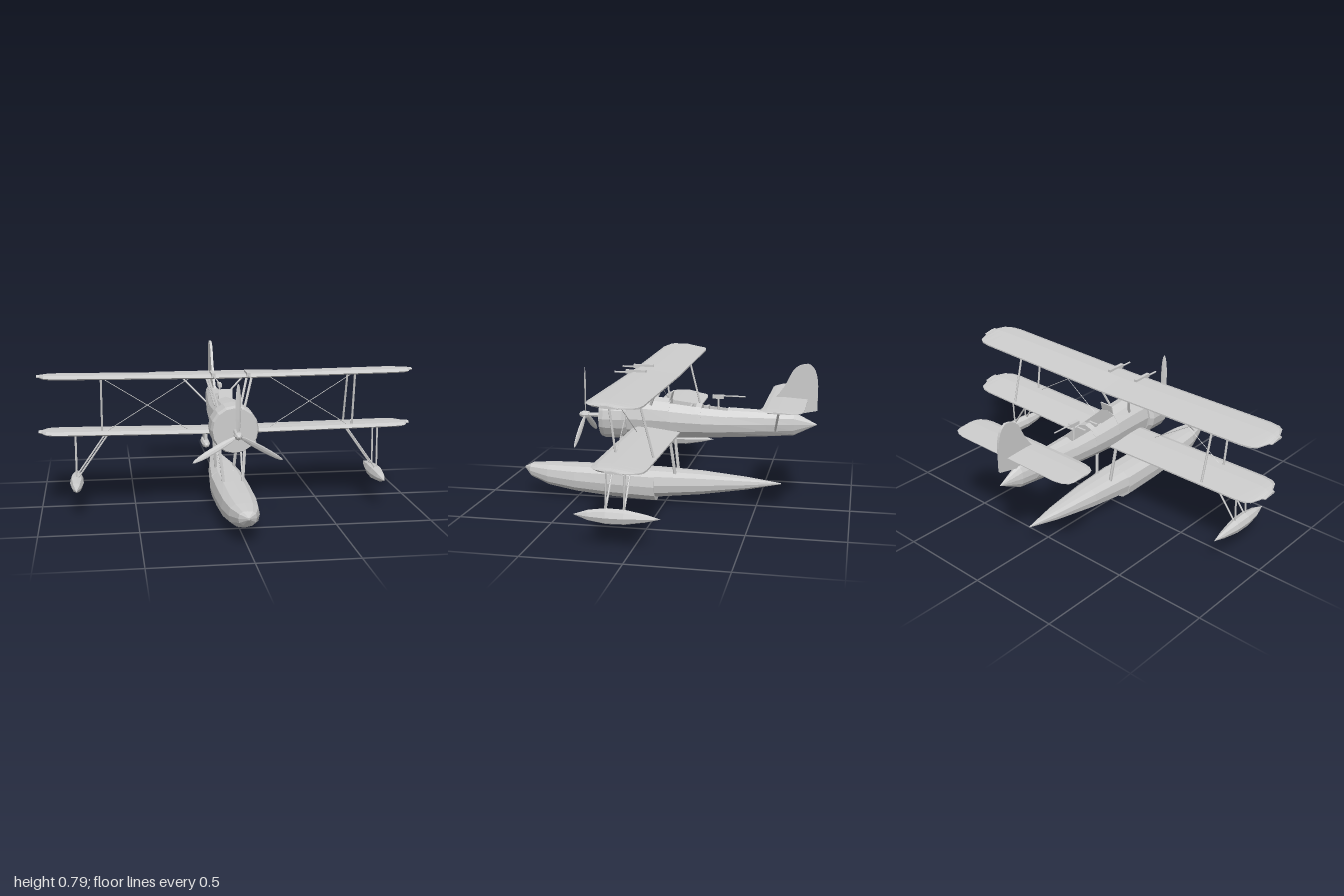
import * as THREE from 'three';

const grey = () => new THREE.MeshStandardMaterial({ color: 0xcccccc, flatShading: true });

// Closed skin through rings of [x, y, z] points, turned outward by its signed volume.
function loft(rings) {
  const n = rings[0].length, tris = [];
  for (let i = 0; i < rings.length - 1; i++) {
    for (let j = 0; j < n; j++) {
      const k = (j + 1) % n;
      const a = rings[i][j], b = rings[i][k], c = rings[i + 1][k], d = rings[i + 1][j];
      tris.push([a, b, c], [a, c, d]);
    }
  }
  const mid = r => [0, 1, 2].map(q => r.reduce((s, p) => s + p[q], 0) / n);
  const first = rings[0], last = rings[rings.length - 1];
  const m0 = mid(first), m1 = mid(last);
  for (let j = 0; j < n; j++) {
    const k = (j + 1) % n;
    tris.push([m0, first[k], first[j]], [m1, last[j], last[k]]);
  }
  let volume = 0;
  for (const [a, b, c] of tris) {
    volume += new THREE.Vector3(...a).dot(new THREE.Vector3(...b).cross(new THREE.Vector3(...c)));
  }
  const flat = tris.flatMap(t => (volume < 0 ? [t[0], t[2], t[1]] : t)).flat();
  const geo = new THREE.BufferGeometry();
  geo.setAttribute('position', new THREE.Float32BufferAttribute(flat, 3));
  geo.computeVertexNormals();
  return geo;
}

// Surface spanning both sides; stations are [x, chord fraction].
function wingGeometry(stations, front, back, y, thick, rise, droop) {
  const foil = [[0, 0.45], [0.12, 0.95], [0.4, 1], [1, 0.4], [1, 0.1], [0.1, 0.1]];
  const all = [...stations.map(([x, s]) => [-x, s]).reverse(), ...stations];
  const mid = (front + back) / 2, chord = front - back;
  return loft(all.map(([x, s]) => foil.map(([t, h]) => [
    x,
    y + rise * Math.abs(x) + thick * (0.5 + (h - 0.5) * Math.sqrt(s)) - droop * (0.5 + (t - 0.5) * s),
    mid + chord * s * (0.5 - t),
  ])));
}

// Hull cross-sections from stations [z, half width, bottom, top].
function hullGeometry(stations) {
  const half = [[0, 1], [0.55, 0.97], [0.9, 0.82], [1, 0.52], [0.9, 0.25], [0.5, 0.06], [0, 0]];
  const outline = [...half, ...half.slice(1, -1).reverse().map(([u, v]) => [-u, v])];
  return loft(stations.map(([z, w, b, t]) => outline.map(([u, v]) => [u * w, b + v * (t - b), z])));
}

export function createModel() {
  const model = new THREE.Group();
  const add = (name, geo, x = 0, y = 0, z = 0, parent = model) => {
    const mesh = new THREE.Mesh(geo, grey());
    mesh.name = name;
    mesh.position.set(x, y, z);
    parent.add(mesh);
    return mesh;
  };
  const rod = (name, a, b, r = 0.006, sides = 6) => {
    const p = new THREE.Vector3(...a), q = new THREE.Vector3(...b);
    const dir = q.clone().sub(p);
    const mesh = add(name, new THREE.CylinderGeometry(r, r, dir.length(), sides));
    mesh.position.copy(p.add(q).multiplyScalar(0.5));
    mesh.quaternion.setFromUnitVectors(new THREE.Vector3(0, 1, 0), dir.normalize());
  };
  const rods = (name, a, b, r, sides) => [1, -1].forEach(s =>
    rod(name, [a[0] * s, a[1], a[2]], [b[0] * s, b[1], b[2]], r, sides));

  // Fuselage stations [z, half width, bottom, top, cockpit depth]
  const body = [
    [0.24, 0.1, 0.352, 0.595, 0], [0.1, 0.095, 0.353, 0.587, 0], [-0.03, 0.093, 0.357, 0.575, 0],
    [-0.03, 0.093, 0.357, 0.572, 0.09], [-0.17, 0.085, 0.364, 0.555, 0.09], [-0.17, 0.085, 0.364, 0.557, 0],
    [-0.2, 0.083, 0.366, 0.553, 0], [-0.2, 0.083, 0.366, 0.551, 0.08], [-0.34, 0.07, 0.375, 0.538, 0.08],
    [-0.34, 0.07, 0.375, 0.54, 0], [-0.55, 0.05, 0.39, 0.533, 0], [-0.69, 0.037, 0.402, 0.528, 0],
    [-0.81, 0.002, 0.463, 0.467, 0],
  ];
  const angles = [90, 60, 60, 30, 0, -30, -60, -90, -120, -150, 180, 150, 120, 120];
  add('fuselage', loft(body.map(([z, w, b, t, dip]) => angles.map((deg, i) => {
    const a = THREE.MathUtils.degToRad(deg), inner = i < 2 || i === 13;
    const y = (b + t) / 2 + Math.sin(a) * (t - b) / 2;
    return [Math.cos(a) * w, inner && dip ? t - dip : y, z];
  }))));

  // Cowling, shaft and three-bladed propeller
  const cowl = [[0, 0.2], [0.11, 0.2], [0.125, 0.22], [0.125, 0.325], [0.116, 0.35], [0, 0.35]];
  add('cowling', new THREE.LatheGeometry(cowl.map(p => new THREE.Vector2(...p)), 16), 0, 0.471, 0)
    .rotation.x = Math.PI / 2;
  rod('propellerShaft', [0, 0.467, 0.34], [0, 0.467, 0.45], 0.012, 8);
  const propeller = new THREE.Group();
  propeller.name = 'propeller';
  propeller.position.set(0, 0.467, 0.453);
  model.add(propeller);
  const hub = [[0, -0.02], [0.02, -0.02], [0.02, 0.012], [0.012, 0.03], [0, 0.038]];
  add('propellerHub', new THREE.LatheGeometry(hub.map(p => new THREE.Vector2(...p)), 8), 0, 0, 0, propeller)
    .rotation.x = Math.PI / 2;
  for (let i = 0; i < 3; i++) {
    const arm = new THREE.Group();
    arm.name = 'bladeArm';
    arm.rotation.z = i * Math.PI * 2 / 3;
    propeller.add(arm);
    const blade = add('propellerBlade', new THREE.SphereGeometry(1, 8, 8), 0, 0.135, 0, arm);
    blade.scale.set(0.017, 0.13, 0.005);
    blade.rotation.y = 0.4;
  }

  // Wings with rounded, stepped tips
  const tips = [[0, 1], [0.5, 1], [0.88, 1], [0.93, 0.94], [0.96, 0.8], [0.975, 0.55], [0.985, 0.36], [1, 0.32]];
  add('upperWing', wingGeometry(tips, 0.19, -0.075, 0.705, 0.026, 0.012, 0.01));
  add('lowerWing', wingGeometry(tips, 0.17, -0.09, 0.407, 0.026, 0.012, 0.01));

  // Tail surfaces
  const tailTips = [[0, 1], [0.32, 1], [0.36, 0.92], [0.39, 0.75], [0.4, 0.5]];
  add('tailplane', wingGeometry(tailTips, -0.55, -0.76, 0.595, 0.013, 0, 0));
  const fin = new THREE.Shape();
  fin.moveTo(-0.5, 0.525);
  fin.lineTo(-0.56, 0.575);
  fin.quadraticCurveTo(-0.62, 0.62, -0.665, 0.725);
  fin.quadraticCurveTo(-0.69, 0.785, -0.755, 0.787);
  fin.quadraticCurveTo(-0.805, 0.775, -0.81, 0.67);
  fin.lineTo(-0.81, 0.54);
  fin.lineTo(-0.69, 0.515);
  const finGeo = new THREE.ExtrudeGeometry(fin, { depth: 0.014, bevelEnabled: false, curveSegments: 6 });
  add('fin', finGeo.translate(0, 0, -0.007).rotateY(-Math.PI / 2));
  rods('tailplaneStrut', [0.035, 0.43, -0.595], [0.2, 0.598, -0.63], 0.006);

  // Cabane and interplane struts with crossed wires
  rods('cabaneStrut', [0.07, 0.56, 0.2], [0.115, 0.715, 0.15], 0.007);
  rods('cabaneStrut', [0.07, 0.55, 0.07], [0.115, 0.71, 0.005], 0.007);
  rods('interplaneStrut', [0.67, 0.42, 0.11], [0.67, 0.72, 0.15], 0.006);
  rods('interplaneStrut', [0.67, 0.42, -0.075], [0.67, 0.715, 0], 0.006);
  rods('bracingWire', [0.2, 0.42, 0.11], [0.66, 0.715, 0.13], 0.002, 4);
  rods('bracingWire', [0.2, 0.715, 0.13], [0.66, 0.425, 0.11], 0.002, 4);

  // Main float with a step in the keel
  add('mainFloat', hullGeometry([
    [0.81, 0.004, 0.142, 0.154], [0.77, 0.045, 0.1, 0.175], [0.66, 0.077, 0.057, 0.182], [0.5, 0.093, 0.03, 0.184],
    [0.28, 0.097, 0.01, 0.186], [0.05, 0.097, 0, 0.184], [0.049, 0.096, 0.022, 0.184], [-0.2, 0.075, 0.05, 0.175],
    [-0.45, 0.04, 0.09, 0.155], [-0.63, 0.002, 0.128, 0.134],
  ]));
  rods('floatStrut', [0.05, 0.175, 0.27], [0.07, 0.39, 0.225], 0.009);
  rods('floatStrut', [0.05, 0.165, -0.06], [0.07, 0.4, -0.03], 0.009);
  rods('floatBrace', [0.05, 0.175, 0.27], [0.07, 0.37, 0.04], 0.005);

  // Wingtip floats, under-wing stores and wing guns
  const pod = [[0, -0.215], [0.018, -0.14], [0.034, -0.04], [0.036, 0.05], [0.024, 0.14], [0, 0.215]];
  const store = [[0, -0.09], [0.013, -0.08], [0.022, -0.03], [0.022, 0.05], [0.012, 0.085], [0, 0.092]];
  for (const s of [1, -1]) {
    const float = add('wingFloat', new THREE.LatheGeometry(pod.map(p => new THREE.Vector2(...p)), 8), s * 0.81, 0.16, 0.075);
    float.rotation.x = Math.PI / 2;
    float.scale.z = 1.1;
    add('underwingStore', new THREE.LatheGeometry(store.map(p => new THREE.Vector2(...p)), 8), s * 0.125, 0.353, 0.075)
      .rotation.x = Math.PI / 2;
    add('storeRack', new THREE.BoxGeometry(0.016, 0.045, 0.09), s * 0.125, 0.39, 0.075);
    add('wingGun', new THREE.BoxGeometry(0.018, 0.02, 0.11), s * 0.092, 0.731, 0.145);
    rod('gunBarrel', [s * 0.092, 0.727, 0.19], [s * 0.092, 0.727, 0.262], 0.005);
  }
  for (const z of [0.13, 0.04]) {
    rods('wingFloatStrut', [0.81, 0.18, z], [0.81, 0.42, z - 0.01], 0.005);
    rods('wingFloatBrace', [0.81, 0.18, z], [0.64, 0.42, z - 0.01], 0.005);
  }

  // Windscreen, seats and rear gun
  add('windscreen', new THREE.BoxGeometry(0.075, 0.055, 0.006), 0, 0.588, -0.03).rotation.x = -0.25;
  for (const z of [-0.14, -0.23]) add('seatBack', new THREE.BoxGeometry(0.055, 0.07, 0.012), 0, 0.51, z);
  rod('rearGunPost', [0, 0.47, -0.29], [0, 0.59, -0.285], 0.006);
  add('rearGun', new THREE.BoxGeometry(0.02, 0.02, 0.06), 0, 0.595, -0.285);
  rod('rearGunBarrel', [0, 0.6, -0.31], [0, 0.6, -0.43], 0.004);

  return model;
}
